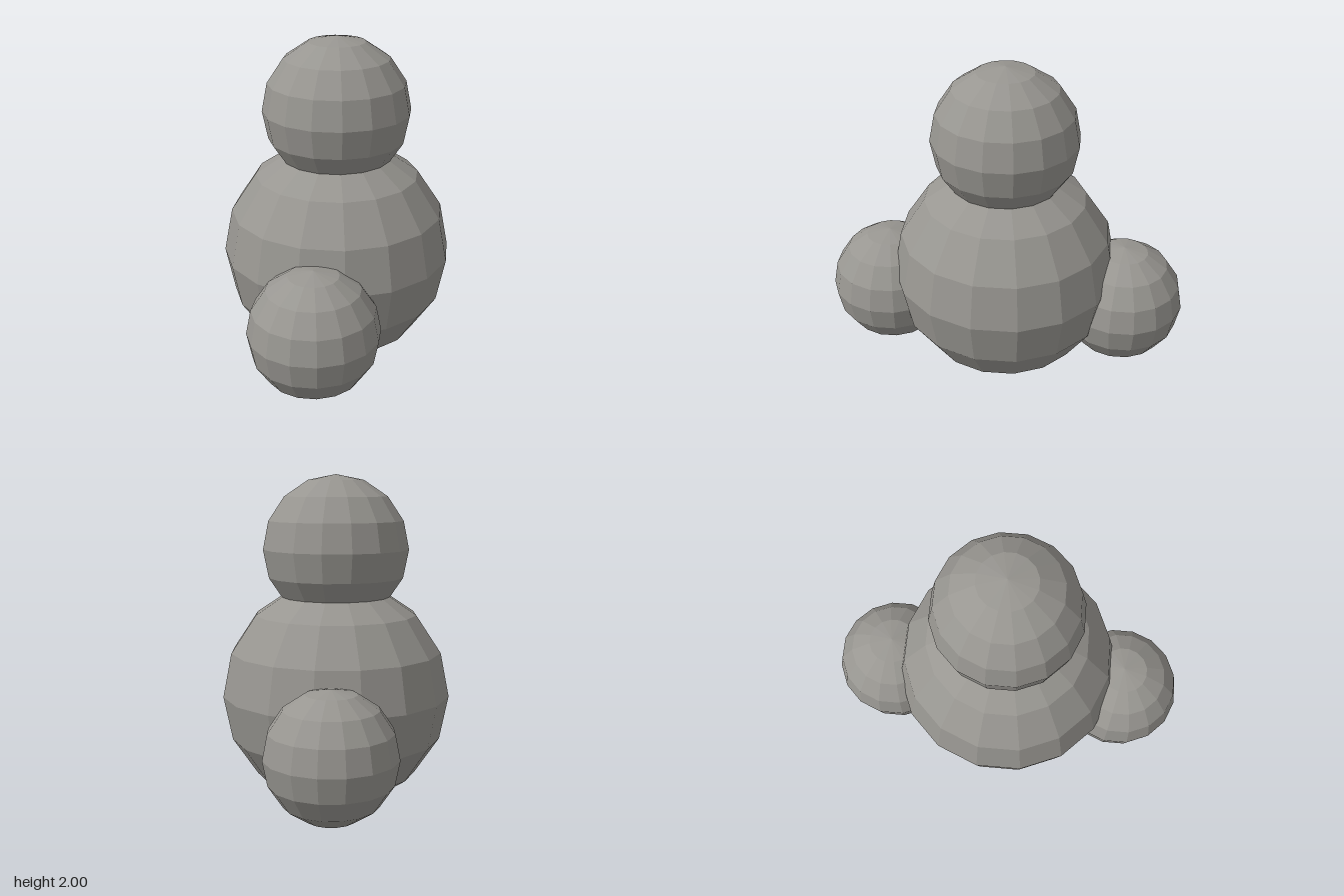
import * as THREE from 'three';

export function createModel() {
  const group = new THREE.Group();
  const material = new THREE.MeshStandardMaterial({ color: 0x989691, flatShading: true });

  // Every part is a faceted ball with 16 sides and 8 rings
  const addBall = (name, radius, x, y, z) => {
    const ball = new THREE.Mesh(new THREE.SphereGeometry(radius, 16, 8), material);
    ball.name = name;
    ball.position.set(x, y, z);
    group.add(ball);
  };

  addBall('body', 0.6875, 0, 0.6875, 0);
  addBall('head', 0.4375, 0, 1.5625, 0);

  // Side balls: one forward on the right, one back on the left
  addBall('rightBall', 0.375, -0.625, 0.5, 0.375);
  addBall('leftBall', 0.375, 0.625, 0.5, -0.375);

  return group;
}
